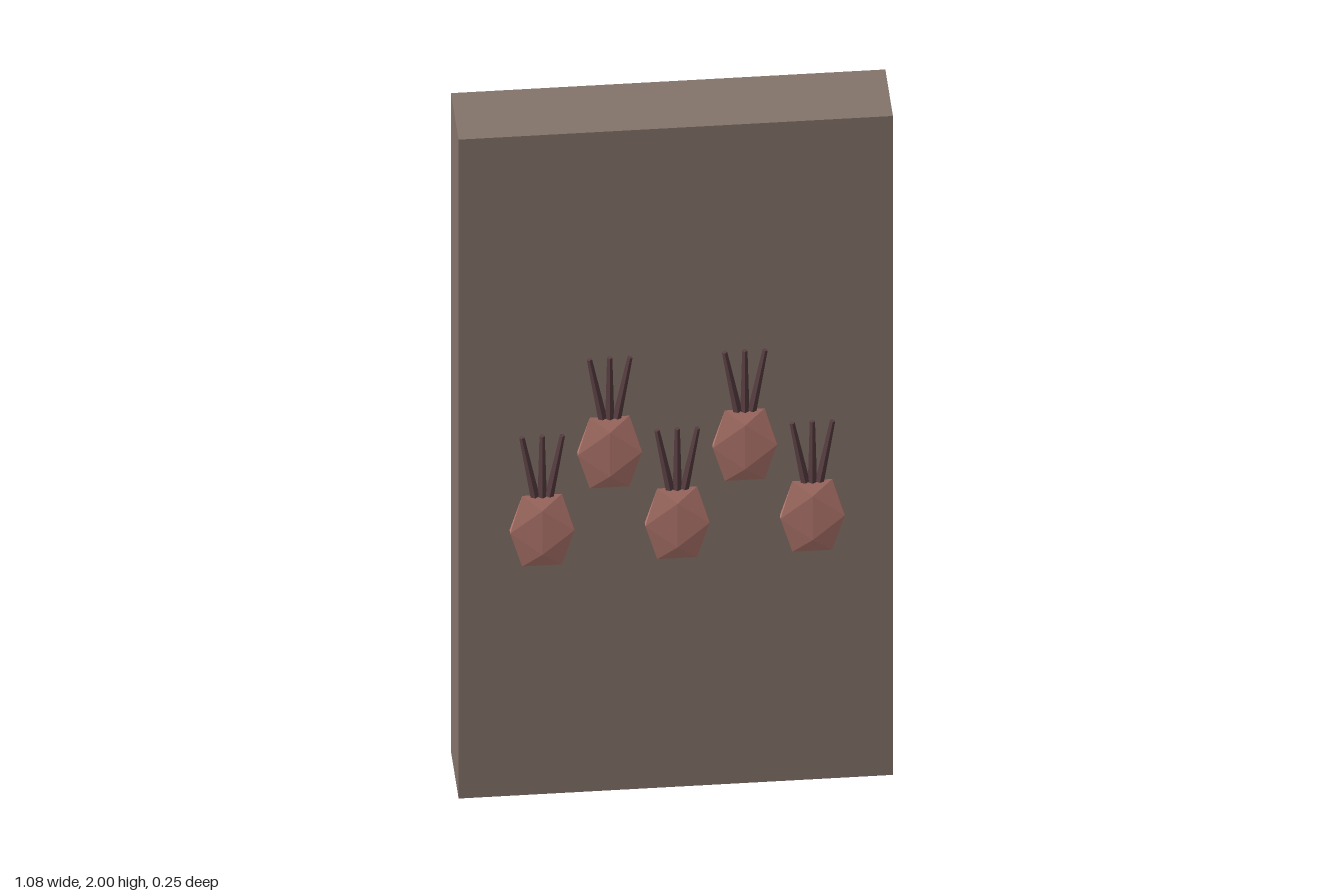
import * as THREE from 'three';

const mat = (name, color) => {
  const m = new THREE.MeshStandardMaterial({ color, flatShading: true });
  m.name = name;
  return m;
};

export function createModel() {
  const stone = mat('stone brown', 0x85746b);
  const pink = mat('dusty pink', 0xb97c72);
  const plum = mat('dark plum', 0x5a3f43);
  const model = new THREE.Group();
  model.name = 'wallPanel';

  const add = (parent, name, geometry, material, x, y, z) => {
    const mesh = new THREE.Mesh(geometry, material);
    mesh.name = name;
    mesh.position.set(x, y, z);
    parent.add(mesh);
    return mesh;
  };

  // Upright slab
  add(model, 'slab', new THREE.BoxGeometry(1.08, 2, 0.2), stone, 0, 1, -0.025);

  // Flattened faceted bud with three tapered stalks fanning upward
  const budGeo = new THREE.IcosahedronGeometry(1, 0).scale(0.094, 0.126, 0.0147);
  const stalkGeo = new THREE.CylinderGeometry(0.007, 0.012, 0.182, 5);
  const makeBud = (x, y) => {
    const bud = new THREE.Group();
    bud.name = 'bud';
    bud.position.set(x, y, 0.1115);
    add(bud, 'budBody', budGeo, pink, 0, 0, 0);
    for (const side of [-1, 0, 1]) {
      const stalk = add(bud, 'stalk', stalkGeo, plum, side * 0.034, 0.195, 0);
      stalk.rotation.z = -side * 0.18;
    }
    model.add(bud);
  };

  // Three buds below, two above in the gaps
  for (const x of [-0.336, 0, 0.336]) makeBud(x, 0.827);
  for (const x of [-0.168, 0.168]) makeBud(x, 1.053);

  return model;
}
